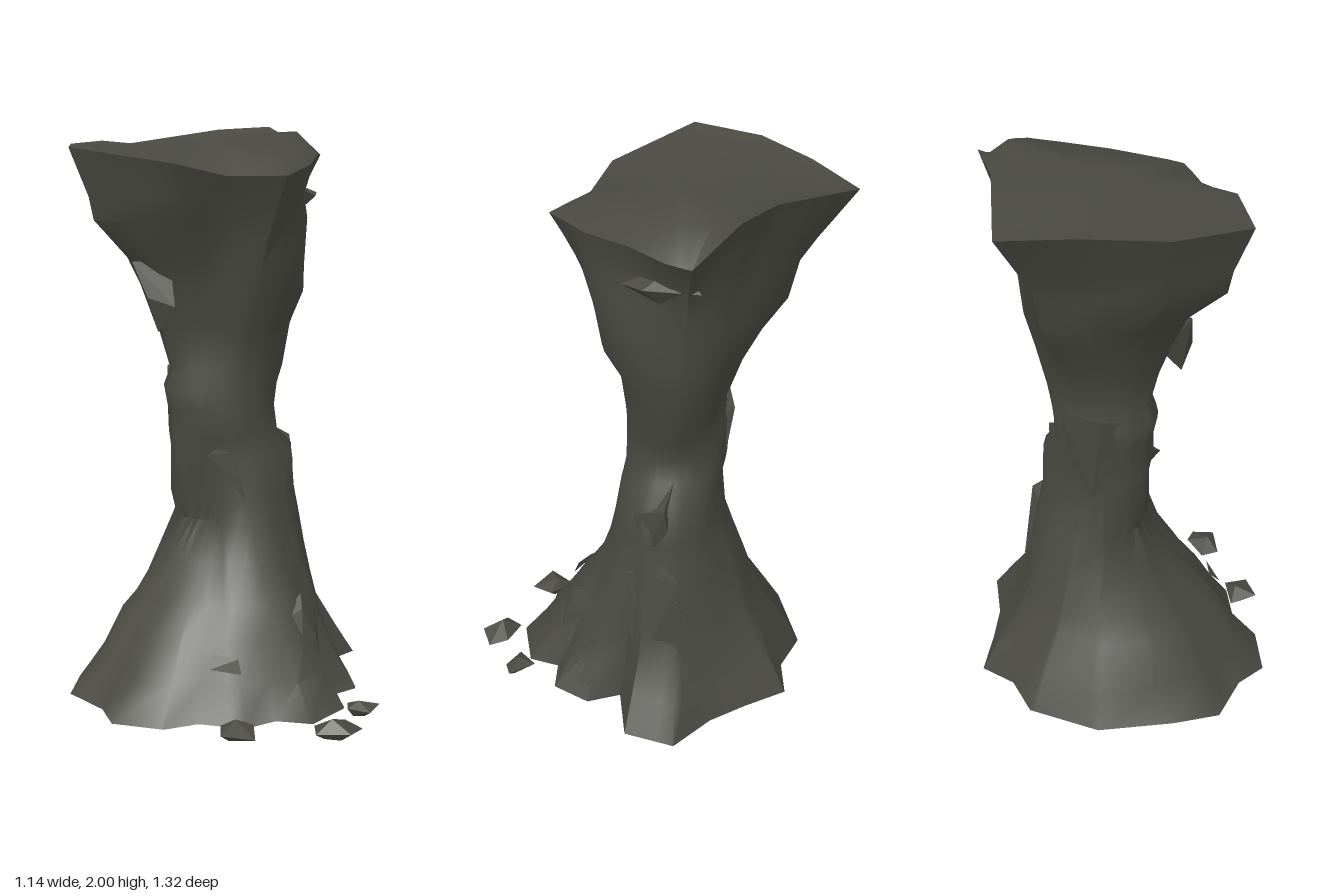
import * as THREE from 'three';
import { toCreasedNormals } from 'three/addons/utils/BufferGeometryUtils.js';
import { ConvexGeometry } from 'three/addons/geometries/ConvexGeometry.js';

const CZ = -0.1; // z of the pillar's axis

// Plan outlines: [x, z, y]
const baseOutline = [
  [-0.01, 0.49], [0.16, 0.45], [0.19, 0.34], [0.3, 0.34], [0.37, 0.21], [0.33, 0.09],
  [0.52, 0.06], [0.57, -0.12], [0.44, -0.25], [0.36, -0.38], [0.28, -0.53], [0.14, -0.52],
  [0, -0.59], [-0.26, -0.52], [-0.46, -0.33], [-0.57, -0.2], [-0.54, -0.02], [-0.57, 0.1],
  [-0.45, 0.24], [-0.33, 0.27], [-0.22, 0.39], [-0.1, 0.4],
].map(([x, z]) => [x, z, 0.015]);
const topOutline = [
  [-0.01, 0.32, 1.84], [0.19, 0.18, 1.87], [0.33, 0.04, 1.9], [0.43, -0.07, 1.9],
  [0.47, -0.15, 1.9], [0.36, -0.29, 2], [0.21, -0.4, 1.99], [-0.02, -0.66, 1.94],
  [-0.22, -0.52, 1.95], [-0.43, -0.36, 1.94], [-0.56, -0.13, 1.93], [-0.33, 0.14, 1.88],
  [-0.17, 0.2, 1.84],
];

// Rings: y, left, right, front, back limits, weight of base and top outline,
// then the shift of the front from its left corner to its right corner
const rings = [
  [0.015, -0.57, 0.57, 0.49, -0.59, 1, 0, 0],
  [0.13, -0.46, 0.49, 0.4, -0.53, 0.85, 0, 0],
  [0.27, -0.38, 0.39, 0.31, -0.44, 0.55, 0, 0.01],
  [0.36, -0.28, 0.36, 0.25, -0.4, 0.4, 0, 0.02],
  [0.48, -0.2, 0.33, 0.17, -0.36, 0.25, 0, 0.03],
  [0.62, -0.13, 0.3, 0.12, -0.31, 0.15, 0, 0.04],
  [0.71, -0.17, 0.28, 0.1, -0.28, 0.1, 0, 0.04],
  [0.87, -0.17, 0.27, 0.07, -0.265, 0, 0, 0.04],
  [0.93, -0.175, 0.21, 0.07, -0.28, 0, 0, 0.02],
  [1.02, -0.18, 0.2, 0.07, -0.285, 0, 0.1, 0.02],
  [1.1, -0.2, 0.22, 0.07, -0.285, 0, 0.15, 0.02],
  [1.16, -0.175, 0.25, 0.07, -0.27, 0, 0.2, 0.025],
  [1.31, -0.22, 0.285, 0.09, -0.32, 0, 0.3, 0.03],
  [1.43, -0.27, 0.32, 0.15, -0.38, 0, 0.45, 0.05],
  [1.55, -0.33, 0.32, 0.18, -0.46, 0, 0.55, 0.05],
  [1.69, -0.48, 0.355, 0.24, -0.49, 0, 0.75, 0.035],
  [1.77, -0.5, 0.37, 0.28, -0.54, 0, 0.9, 0.015],
];

const angleOf = ([x, z]) => (Math.atan2(z - CZ, x) + Math.PI * 2) % (Math.PI * 2);

// Radius and height where a ray from the axis meets an outline
function sample(outline, a) {
  const dx = Math.cos(a), dz = Math.sin(a);
  for (let i = 0; i < outline.length; i++) {
    const p = outline[i], q = outline[(i + 1) % outline.length];
    const ex = q[0] - p[0], ez = q[1] - p[1];
    const det = ez * dx - ex * dz;
    if (Math.abs(det) < 1e-9) continue;
    const r = (p[0] * ez - (p[1] - CZ) * ex) / det;
    const t = (p[0] * dz - (p[1] - CZ) * dx) / det;
    if (r > 0 && t > -1e-6 && t < 1 + 1e-6) return { r, y: p[2] + (q[2] - p[2]) * t };
  }
  return { r: 0.3, y: outline[0][2] };
}

// Radius of an oval with its own reach on each side
function oval([, left, right, front, back], a) {
  const c = Math.cos(a), s = Math.sin(a);
  return 1 / Math.hypot(c / (c > 0 ? right : left), s / ((s > 0 ? front : back) - CZ));
}

// Shell open at the foot, closed by a sloping top
function pillarGeometry() {
  const angles = [...baseOutline, ...topOutline].map(angleOf).sort((a, b) => a - b)
    .filter((a, i, all) => i === 0 || a - all[i - 1] > 0.012);
  const n = angles.length, pos = [], index = [];
  const baseRing = rings[0], topRing = [1.93, -0.57, 0.47, 0.32, -0.66];
  const put = (a, r, y) => pos.push(Math.cos(a) * r, y, CZ + Math.sin(a) * r);
  for (const ring of rings) {
    for (const a of angles) {
      const lobes = (sample(baseOutline, a).r / oval(baseRing, a)) ** ring[5];
      const corners = (sample(topOutline, a).r / oval(topRing, a)) ** ring[6];
      const shift = Math.sin(a) > 0 ? ring[7] * Math.sin(2 * a) : 0;
      put(a, oval(ring, a) * lobes * corners + shift, ring[0]);
    }
  }
  for (const a of angles) {
    const rim = sample(topOutline, a);
    put(a, rim.r, rim.y);
  }
  for (const a of angles) {
    const r = sample(topOutline, a).r * 0.78;
    put(a, r, 1.95 + 0.09 * Math.cos(a) * r - 0.2 * Math.max(0, Math.sin(a) * r));
  }
  const levels = rings.length + 1;
  pos.push(0, 1.95, CZ);
  const top = (levels + 1) * n;
  for (let i = 0; i < n; i++) {
    const j = (i + 1) % n;
    for (let k = 0; k < levels; k++) {
      const a = k * n + i, b = k * n + j;
      index.push(a, a + n, b, b, a + n, b + n);
    }
    index.push(top, levels * n + j, levels * n + i);
  }
  const g = new THREE.BufferGeometry();
  g.setAttribute('position', new THREE.Float32BufferAttribute(pos, 3));
  g.setIndex(index);
  return toCreasedNormals(g, 0.85);
}

// Angular pieces of rock breaking through the pillar's surface
const shards = {
  sideButtress: [[0.29, 0.65, -0.06], [0.35, 0.6, -0.12], [0.36, 0.3, -0.02], [0.38, 0.28, -0.15],
    [0.25, 0.56, 0.07], [0.31, 0.3, 0.05], [0.26, 0.4, -0.13]],
  waistLedge: [[-0.13, 0.88, 0.03], [0.05, 0.87, 0.06], [0.2, 0.94, -0.1], [0.3, 0.88, -0.07],
    [0.24, 0.82, 0.03], [0, 0.76, 0.085], [0.2, 0.7, 0.07], [0.29, 0.78, -0.08],
    [0.27, 0.63, 0], [0.03, 0.65, 0.115], [0.1, 0.65, 0.115]],
  frontSpur: [[0.22, 0.36, 0.18], [0.13, 0.38, 0.23], [0.1, 0.34, 0.28], [0.07, 0.18, 0.33],
    [0.14, 0.24, 0.31], [0.15, 0.18, 0.32], [0.02, 0.3, 0.26]],
  rightSpur: [[0.26, 0.23, 0.17], [0.2, 0.22, 0.2], [0.3, 0.02, 0.34], [0.37, 0.02, 0.21],
    [0.2, 0.02, 0.34]],
  leftFang: [[-0.27, 1.31, -0.06], [-0.31, 1.43, -0.06], [-0.34, 1.55, -0.11], [-0.24, 1.4, 0],
    [-0.23, 1.4, -0.12], [-0.22, 1.55, -0.06]],
  backSlab: [[-0.17, 1.11, -0.14], [-0.1, 1.15, -0.28], [0.05, 1.15, -0.3], [-0.05, 0.8, -0.26],
    [-0.15, 0.9, -0.18], [0.05, 0.85, -0.26], [0, 1, -0.15]],
  upperChip: [[0.36, 1.77, 0], [0.36, 1.76, -0.18], [0.3, 1.76, 0.07], [0.33, 1.71, -0.05],
    [0.28, 1.82, -0.1]],
  frontChip: [[0.01, 0.5, 0.15], [0.03, 0.43, 0.2], [0.02, 0.37, 0.23], [0, 0.42, 0.19]],
  leftChip: [[-0.27, 0.19, 0.25], [-0.18, 0.22, 0.29], [-0.18, 0.17, 0.31], [-0.24, 0.23, 0.22]],
};

// Loose stones: plan outline and the peak
const stones = [
  { outline: [[-0.28, 0.33], [-0.2, 0.41], [-0.25, 0.49], [-0.34, 0.42]], peak: [-0.26, 0.06, 0.39] },
  { outline: [[-0.02, 0.51], [0.08, 0.55], [0.1, 0.62], [0.02, 0.655], [-0.06, 0.57]], peak: [0, 0.065, 0.58] },
  { outline: [[0.19, 0.43], [0.26, 0.52], [0.2, 0.54], [0.14, 0.49]], peak: [0.19, 0.05, 0.49] },
];

export function createModel() {
  const model = new THREE.Group();
  model.name = 'rockPillar';
  const rock = new THREE.MeshStandardMaterial({ color: 0x4a4a43, side: THREE.DoubleSide });
  rock.name = 'dark rock';
  const add = (name, geometry) => {
    const mesh = new THREE.Mesh(geometry, rock);
    mesh.name = name;
    model.add(mesh);
  };
  const hull = (points) => new ConvexGeometry(points.map((p) => new THREE.Vector3(...p)));

  add('pillar', pillarGeometry());
  for (const [name, points] of Object.entries(shards)) add(name, hull(points));
  stones.forEach(({ outline, peak }, i) => {
    const rim = outline.map(([x, z], k) => [x, 0.02 + 0.012 * (k % 2), z]);
    const foot = outline.map(([x, z]) => [(x + peak[0]) / 2, 0, (z + peak[2]) / 2]);
    add(`looseStone${i + 1}`, hull([...rim, ...foot, peak]));
  });
  return model;
}
